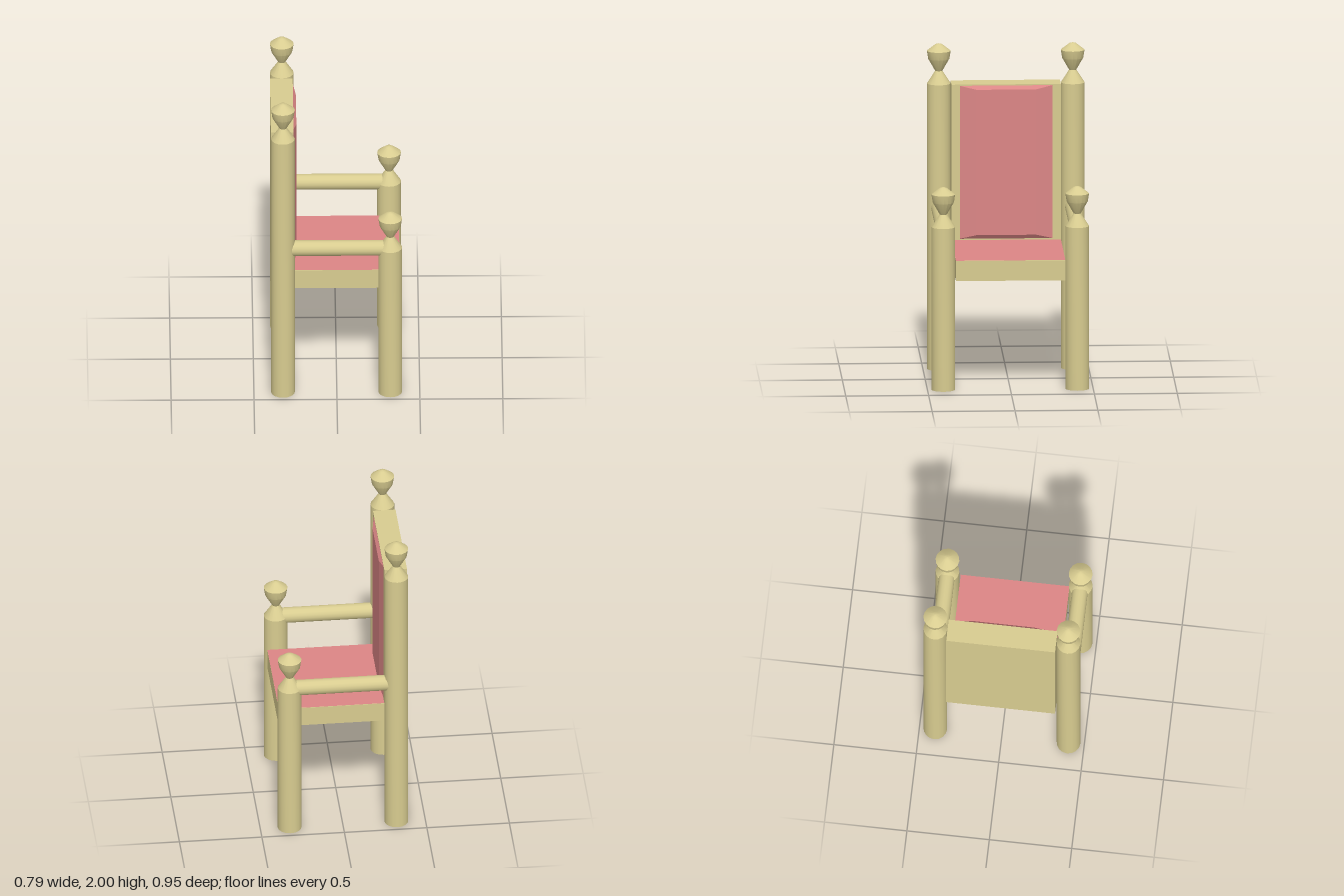
import * as THREE from 'three';
import { toCreasedNormals } from 'three/addons/utils/BufferGeometryUtils.js';

const wood = new THREE.MeshStandardMaterial({ color: 0xd8cc90 });
const cloth = new THREE.MeshStandardMaterial({ color: 0xdc8686 });

function add(parent, name, geometry, material, x = 0, y = 0, z = 0) {
  const mesh = new THREE.Mesh(geometry, material);
  mesh.name = name;
  mesh.position.set(x, y, z);
  parent.add(mesh);
  return mesh;
}

// Round post with a pinched neck and a turned finial above the shoulder
function postGeometry(shoulder) {
  const profile = [
    [0, 0], [0.072, 0], [0.072, shoulder], [0.022, shoulder + 0.077],
    [0.064, shoulder + 0.15], [0.072, shoulder + 0.2],
    [0.02, shoulder + 0.24], [0, shoulder + 0.245],
  ].map(([r, y]) => new THREE.Vector2(r, y));
  return toCreasedNormals(new THREE.LatheGeometry(profile, 16), 0.45);
}

// Padded panel facing +x: a wide rectangle bevelled in to a smaller raised one
function cushionGeometry() {
  const ring = (x, w, y0, y1) => [[x, y0, w], [x, y0, -w], [x, y1, -w], [x, y1, w]];
  const corners = [...ring(0, 0.28, 0.81, 1.75), ...ring(0.018, 0.18, 0.835, 1.728)];
  const index = [4, 5, 6, 4, 6, 7];
  for (let i = 0; i < 4; i++) {
    const j = (i + 1) % 4;
    index.push(i, j, j + 4, i, j + 4, i + 4);
  }
  const geometry = new THREE.BufferGeometry();
  geometry.setAttribute('position', new THREE.Float32BufferAttribute(corners.flat(), 3));
  geometry.setIndex(index);
  return toCreasedNormals(geometry, 0.1);
}

export function createModel() {
  const chair = new THREE.Group();
  chair.name = 'chair';

  // Seat and back in one L-shaped profile, extruded across the width
  const side = new THREE.Shape([
    [-0.397, 0.677], [0.38, 0.677], [0.38, 0.8], [-0.26, 0.8], [-0.26, 1.757], [-0.397, 1.757],
  ].map(([x, y]) => new THREE.Vector2(x, y)));
  add(chair, 'seatAndBack',
    new THREE.ExtrudeGeometry(side, { depth: 0.66, bevelEnabled: false }), wood, 0, 0, -0.33);

  // Upholstery
  const seatTop = new THREE.PlaneGeometry(0.64, 0.66).rotateX(-Math.PI / 2);
  add(chair, 'seatUpholstery', seatTop, cloth, 0.06, 0.802, 0);
  add(chair, 'backCushion', cushionGeometry(), cloth, -0.26, 0, 0);

  // Posts and armrests on both sides
  const tall = postGeometry(1.755);
  const short = postGeometry(1.0);
  const rail = new THREE.CylinderGeometry(0.048, 0.048, 0.62, 16).rotateZ(Math.PI / 2);
  for (const [label, z] of [['A', 0.404], ['B', -0.404]]) {
    add(chair, 'backPost' + label, tall, wood, -0.325, 0, z);
    add(chair, 'frontPost' + label, short, wood, 0.322, 0, z);
    add(chair, 'armrest' + label, rail, wood, 0, 0.997, z);
  }
  return chair;
}
